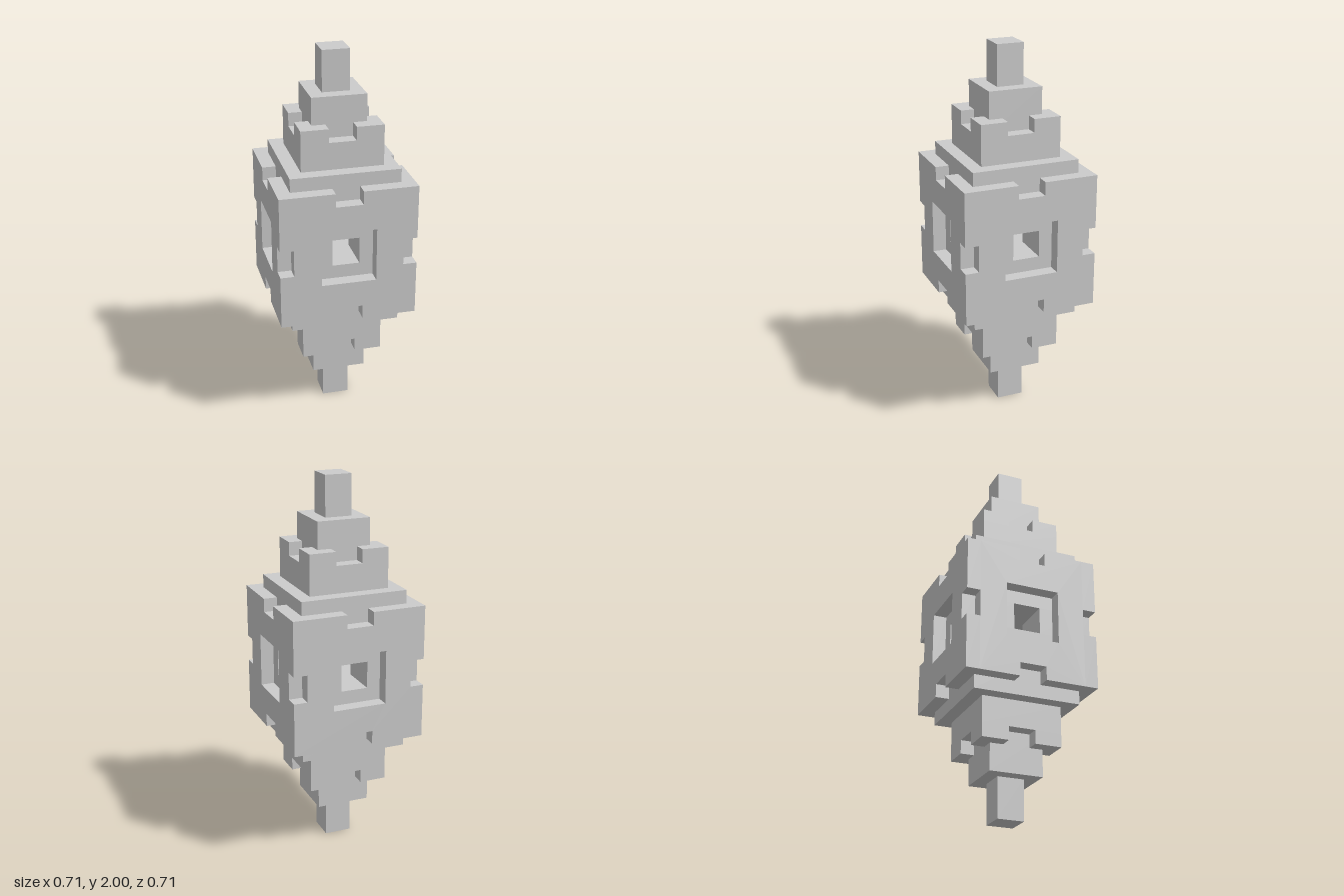
import * as THREE from 'three';

const U = 1 / 14; // modelling unit: the whole is 28 units tall
const material = new THREE.MeshStandardMaterial({ color: 0xcccccc, flatShading: true });

// Box given by its minimum and maximum corners, in units
function box(name, min, max) {
  const size = max.map((v, i) => v - min[i]);
  const mesh = new THREE.Mesh(new THREE.BoxGeometry(...size), material);
  mesh.name = name;
  mesh.position.set(...max.map((v, i) => (v + min[i]) / 2));
  return mesh;
}

// Wall panel one unit thick, with a square window and notched edges
function wallPanel(halfWidth, sideNotches) {
  const w = halfWidth;
  const right = sideNotches ? [[w, -1], [w - 1, -1], [w - 1, 1], [w, 1]] : [];
  const left = right.map(([x, y]) => [-x, -y]);
  const outline = [
    [-w, -5], [-1, -5], [-1, -4], [1, -4], [1, -5], [w, -5], ...right,
    [w, 5], [1, 5], [1, 4], [-1, 4], [-1, 5], [-w, 5], ...left,
  ];
  const shape = new THREE.Shape(outline.map(([x, y]) => new THREE.Vector2(x, y)));
  const window = [[-2, -2], [-2, 2], [2, 2], [2, -2]];
  shape.holes.push(new THREE.Path(window.map(([x, y]) => new THREE.Vector2(x, y))));
  const geometry = new THREE.ExtrudeGeometry(shape, { depth: 1, bevelEnabled: false });
  geometry.translate(0, 0, 4);
  return new THREE.Mesh(geometry, material);
}

// Stepped half: core block, notched tier, step and spike, stacked away from the middle
function steppedHalf(sign) {
  const half = new THREE.Group();
  const add = (name, r, y0, y1) => {
    const [a, b] = sign > 0 ? [y0, y1] : [-y1, -y0];
    half.add(box(name, [-r, a, -r], [r, b, r]));
  };
  add('coreBlock', 4, 1, 6);
  add('tier', 3, 6, 8);
  add('step', 2, 8, 11);
  add('spike', 1, 11, 14);
  // Raised corners leave a notch in the middle of each tier edge
  for (const x of [-2, 2]) for (const z of [-2, 2]) {
    const y = 8.5 * sign;
    half.add(box('tierCorner', [x - 1, y - 0.5, z - 1], [x + 1, y + 0.5, z + 1]));
  }
  return half;
}

export function createModel() {
  const model = new THREE.Group();
  model.name = 'steppedTower';

  const upper = steppedHalf(1);
  upper.name = 'upperHalf';
  const lower = steppedHalf(-1);
  lower.name = 'lowerHalf';
  model.add(upper, lower);

  // Four pillars leave two tunnels crossing through the middle
  for (const x of [-2.5, 2.5]) for (const z of [-2.5, 2.5]) {
    model.add(box('tunnelPillar', [x - 1.5, -1, z - 1.5], [x + 1.5, 1, z + 1.5]));
  }

  // Front and back panels carry the corner notches; side panels fit between them
  ['frontWall', 'leftWall', 'backWall', 'rightWall'].forEach((name, i) => {
    const wall = i % 2 === 0 ? wallPanel(5, true) : wallPanel(4, false);
    wall.name = name;
    wall.rotation.y = (i * Math.PI) / 2;
    model.add(wall);
  });

  model.scale.setScalar(U);
  model.position.y = 1;
  return model;
}
